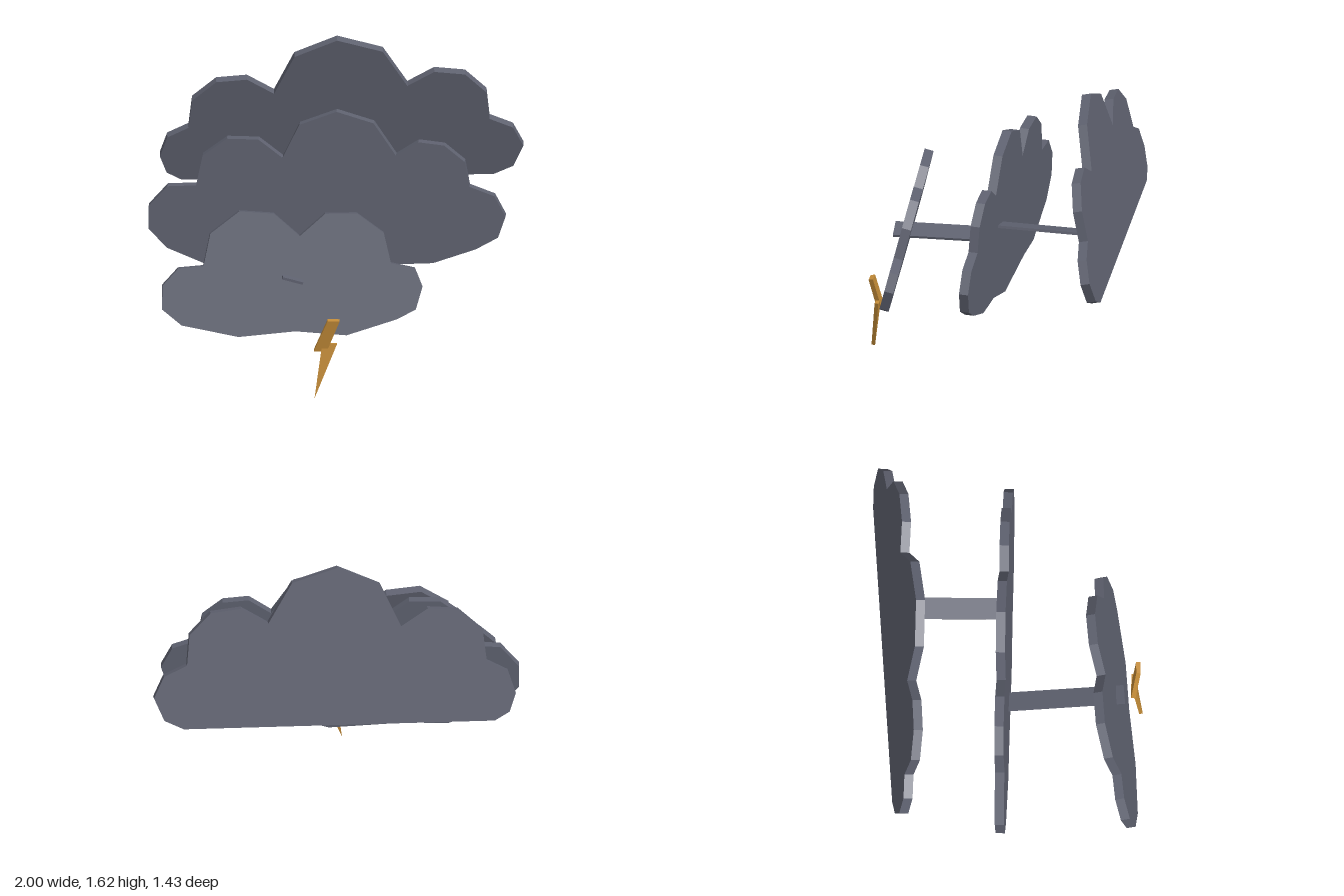
import * as THREE from 'three';

const cloudGrey = new THREE.MeshStandardMaterial({ color: 0x5f6270 });
cloudGrey.name = 'storm grey';
const boltGold = new THREE.MeshStandardMaterial({ color: 0xc48c38 });
boltGold.name = 'bolt gold';

// Flat plate whose front face lies on the plane z = z0 + b*x + c*y
function tiltedPlate(name, outline, [z0, b, c], thickness, material) {
  const shape = new THREE.Shape(outline.map(([x, y]) => new THREE.Vector2(x, y)));
  const geometry = new THREE.ExtrudeGeometry(shape, { depth: 1, bevelEnabled: false });
  const depth = new THREE.Vector3(-b, -c, 1).setLength(thickness);
  const place = new THREE.Matrix4().makeBasis(
    new THREE.Vector3(1, 0, b), new THREE.Vector3(0, 1, c), depth);
  place.setPosition(-depth.x, -depth.y, z0 - depth.z);
  geometry.applyMatrix4(place);
  const mesh = new THREE.Mesh(geometry, material);
  mesh.name = name;
  return mesh;
}

// Thin flat bar running between two points, rolled about its length
function bar(name, from, to, roll) {
  const a = new THREE.Vector3(...from), b = new THREE.Vector3(...to);
  const mesh = new THREE.Mesh(new THREE.BoxGeometry(0.115, 0.014, a.distanceTo(b)), cloudGrey);
  mesh.position.copy(a).lerp(b, 0.5);
  mesh.lookAt(a);
  mesh.rotateZ(roll);
  mesh.name = name;
  return mesh;
}

export function createModel() {
  const group = new THREE.Group();
  group.name = 'stormCloud';

  // Cloud layers
  group.add(tiltedPlate('backCloud', [
    [-0.84, 0.745], [0.835, 0.77], [0.94, 0.82], [0.995, 0.945], [0.94, 1.06], [0.815, 1.115],
    [0.80, 1.28], [0.685, 1.395], [0.52, 1.412], [0.375, 1.325], [0.245, 1.54], [0, 1.612],
    [-0.23, 1.51], [-0.34, 1.28], [-0.485, 1.37], [-0.65, 1.355], [-0.78, 1.24], [-0.80, 1.07],
    [-0.915, 1.01], [-0.955, 0.89], [-0.92, 0.79],
  ], [-0.795, -0.047, 0.21], 0.05, cloudGrey));

  group.add(tiltedPlate('middleCloud', [
    [-0.9, 0.57], [-0.62, 0.455], [-0.4, 0.46], [0.02, 0.43], [0.29, 0.51], [0.53, 0.525],
    [0.76, 0.61], [0.88, 0.68], [0.92, 0.8], [0.86, 0.915], [0.725, 0.965], [0.7, 1.105],
    [0.59, 1.195], [0.45, 1.21], [0.33, 1.13], [0.21, 1.31], [0.01, 1.37], [-0.19, 1.29],
    [-0.28, 1.1], [-0.41, 1.2], [-0.58, 1.2], [-0.71, 1.1], [-0.745, 0.93], [-0.9, 0.92],
    [-1, 0.805], [-1, 0.675],
  ], [0.023, 0.045, -0.035], 0.05, cloudGrey));

  group.add(tiltedPlate('frontCloud', [
    [-0.905, 0.61], [-0.905, 0.485], [-0.8, 0.4], [-0.495, 0.335], [-0.19, 0.36], [0.085, 0.335],
    [0.355, 0.415], [0.455, 0.465], [0.49, 0.585], [0.45, 0.68], [0.32, 0.71], [0.28, 0.87],
    [0.135, 0.975], [-0.035, 0.975], [-0.17, 0.86], [-0.31, 0.98], [-0.495, 0.995],
    [-0.65, 0.88], [-0.685, 0.71], [-0.82, 0.70],
  ], [0.712, -0.075, -0.25], 0.05, cloudGrey));

  // Connecting bars
  group.add(bar('frontBar', [-0.205, 0.64, 0.61], [-0.238, 0.64, -0.03], -0.28));
  group.add(bar('backBar', [0.2, 0.9, -0.03], [0.215, 0.9, -0.62], 0.22));

  // Lightning bolt: two strokes folded against each other
  const bolt = new THREE.Group();
  bolt.name = 'lightningBolt';
  bolt.add(tiltedPlate('upperStroke',
    [[-0.015, 0.445], [-0.09, 0.26], [-0.02, 0.26], [0.05, 0.445]],
    [0.63, 0, 0.16], 0.024, boltGold));
  bolt.add(tiltedPlate('lowerStroke',
    [[-0.045, 0.303], [-0.085, 0.004], [0.035, 0.303]],
    [0.712, 0, -0.135], 0.02, boltGold));
  group.add(bolt);

  return group;
}
